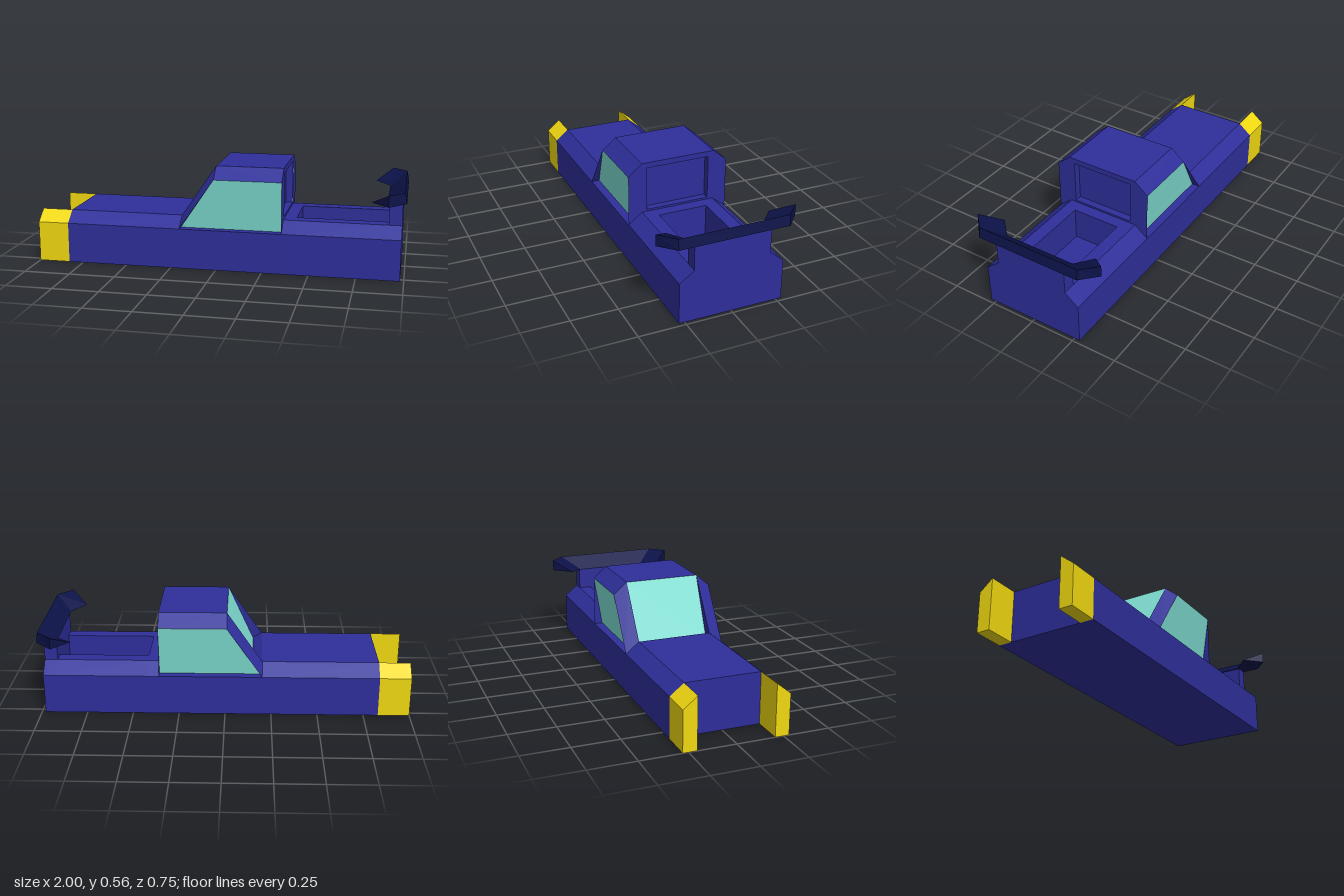
import * as THREE from 'three';

const mat = (color) => new THREE.MeshStandardMaterial({ color, flatShading: true, side: THREE.DoubleSide });

export function createModel() {
  const group = new THREE.Group();
  const blue = mat(0x2e2e9a), navy = mat(0x0c1248), yellow = mat(0xf0d810), glass = mat(0x80e0d5);

  const add = (name, geometry, material) => {
    const mesh = new THREE.Mesh(geometry, material);
    mesh.name = name;
    group.add(mesh);
    return mesh;
  };

  // Shape from [z, y] points
  const shapeOf = (pts) => new THREE.Shape(pts.map(([z, y]) => new THREE.Vector2(-z, y)));
  // Closed half outline mirrored over z = 0
  const mirrored = (half) => [...half, ...half.slice().reverse().map(([z, y]) => [-z, y])];
  // Cross-section swept along x
  const sweep = (name, shape, x0, x1, material) => {
    const g = new THREE.ExtrudeGeometry(shape, { depth: x1 - x0, bevelEnabled: false });
    add(name, g.rotateY(Math.PI / 2).translate(x0, 0, 0), material);
  };
  // Flat convex polygons as triangle fans
  const panels = (name, polys, material) => {
    const pos = [];
    for (const p of polys)
      for (let i = 1; i < p.length - 1; i++) pos.push(...p[0], ...p[i], ...p[i + 1]);
    const g = new THREE.BufferGeometry();
    g.setAttribute('position', new THREE.Float32BufferAttribute(pos, 3));
    g.computeVertexNormals();
    add(name, g, material);
  };

  const W = 0.28, N = 0.205, SIDE = 0.22, DECK = 0.28; // half widths and heights
  const EAVE = 0.497, ROOF = 0.56, REAR = 0.355;

  // Hull: chamfered sections, lower under the cabin, notched for the bed
  const deck = shapeOf(mirrored([[W, 0], [W, SIDE], [N, DECK]]));
  sweep('hood', deck, -0.83, -0.2, blue);
  sweep('cabinBase', shapeOf(mirrored([[W, 0], [W, SIDE]])), -0.2, REAR, blue);
  sweep('rearDeck', deck, REAR, 0.42, blue);
  sweep('cargoBed', shapeOf(mirrored([[W, 0], [W, SIDE], [N, DECK], [0.135, DECK], [0.135, 0.1]])), 0.42, 0.91, blue);
  sweep('tailWall', shapeOf(mirrored([[W, 0], [W, SIDE], [N, DECK], [N, 0.41]])), 0.91, 0.98, blue);

  // Front prongs
  for (const s of [1, -1])
    sweep(s > 0 ? 'frontProngNear' : 'frontProngFar',
      shapeOf([[W * s, 0], [W * s, SIDE], [N * s, DECK], [N * s, 0]]), -1, -0.83, yellow);

  // Cabin roof, windscreen and sill
  panels('roof', [[[-0.01, ROOF, N], [REAR, ROOF, N], [REAR, ROOF, -N], [-0.01, ROOF, -N]]], blue);
  panels('windscreen', [[[-0.01, ROOF, -N], [-0.15, 0.25, -N], [-0.15, 0.25, N], [-0.01, ROOF, N]]], glass);
  panels('windscreenSill', [[[-0.2, DECK, -N], [-0.2, DECK, N], [-0.15, 0.25, N], [-0.15, 0.25, -N]]], blue);

  // Cabin sides: eave, sloping pillar with its inner returns, and window leaning in at the bottom
  for (const s of [1, -1]) {
    const w = W * s, n = N * s, foot = 0.235 * s;
    panels('cabinPillar', [
      [[-0.01, ROOF, n], [-0.01, EAVE, w], [REAR, EAVE, w], [REAR, ROOF, n]],
      [[-0.01, ROOF, n], [-0.2, DECK, n], [-0.2, SIDE, w], [-0.01, EAVE, w]],
      [[-0.01, ROOF, n], [-0.2, DECK, n], [-0.15, 0.25, n]],
      [[-0.01, EAVE, w], [-0.2, SIDE, w], [-0.2, SIDE, foot]],
    ], blue);
    panels('sideWindow', [[[-0.01, EAVE, w], [-0.2, SIDE, foot], [REAR, SIDE, foot], [REAR, EAVE, w]]], glass);
  }

  // Cabin back: flat frame with a recessed panel
  const opening = (z, y0, y1) => mirrored([[z, y0], [z, y1]]);
  const frame = shapeOf(mirrored([[W, SIDE], [W, EAVE], [N, ROOF]]));
  frame.holes.push(shapeOf(opening(0.175, 0.29, 0.53)));
  add('rearFrame', new THREE.ShapeGeometry(frame).rotateY(Math.PI / 2).translate(REAR, 0, 0), blue);
  const lining = shapeOf(opening(0.18, 0.285, 0.535));
  lining.holes.push(shapeOf(opening(0.175, 0.29, 0.53)));
  sweep('rearFrameLining', lining, 0.315, REAR - 0.001, blue);
  sweep('rearPanel', shapeOf(opening(0.178, 0.287, 0.533)), 0.305, 0.315, blue);

  // Wing: wedge section [leading edge, trailing top, trailing bottom], swept forward at the tips
  const tip = (s) => [[0.82, 0.415, 0.28 * s], [0.91, 0.474, 0.374 * s], [0.91, 0.413, 0.374 * s]];
  const bend = (s) => [[0.9, 0.404, 0.2 * s], [0.99, 0.474, 0.295 * s], [1, 0.418, 0.295 * s]];
  const stations = [tip(1), bend(1), bend(-1), tip(-1)];
  const faces = [stations[0], stations[3].slice().reverse()];
  for (let i = 0; i < 3; i++)
    for (let j = 0; j < 3; j++) {
      const a = stations[i], b = stations[i + 1], k = (j + 1) % 3;
      faces.push([a[j], b[j], b[k], a[k]]);
    }
  panels('rearWing', faces, navy);

  return group;
}
